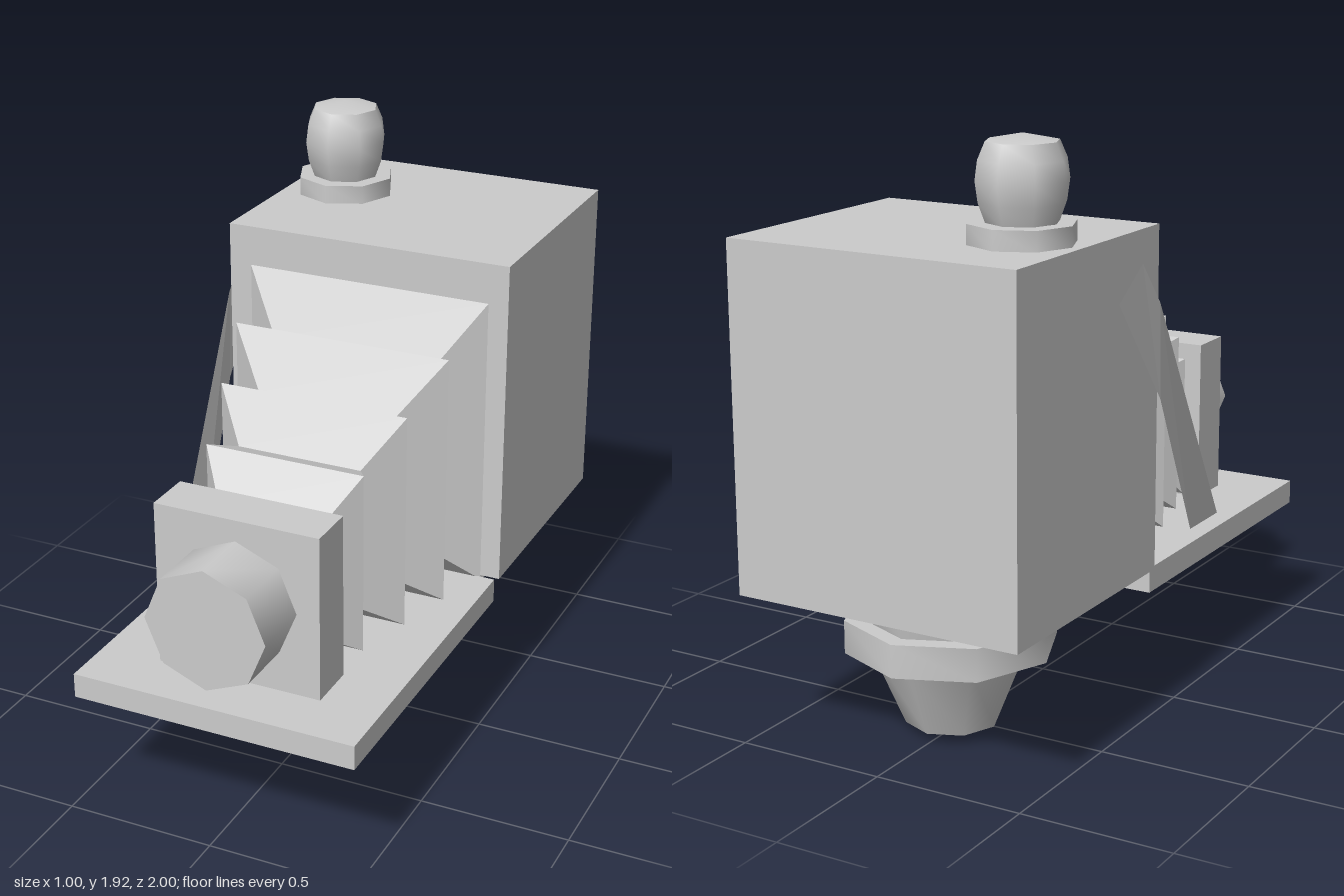
import * as THREE from 'three';
import { toCreasedNormals } from 'three/addons/utils/BufferGeometryUtils.js';

const SIDES = 8;

export function createModel() {
  const model = new THREE.Group();
  const grey = new THREE.MeshStandardMaterial({ color: 0xcccccc });
  const thin = new THREE.MeshStandardMaterial({ color: 0xcccccc, side: THREE.DoubleSide });

  const add = (name, geometry, material = grey) => {
    const mesh = new THREE.Mesh(geometry, material);
    mesh.name = name;
    model.add(mesh);
    return mesh;
  };

  // Box given by its lower and upper corners
  const box = (name, [x0, y0, z0], [x1, y1, z1]) =>
    add(name, new THREE.BoxGeometry(x1 - x0, y1 - y0, z1 - z0))
      .position.set((x0 + x1) / 2, (y0 + y1) / 2, (z0 + z1) / 2);

  // Eight-sided turned part, profile listed from bottom to top
  const turned = (name, profile, x, z) => {
    const points = profile.map(([r, y]) => new THREE.Vector2(r, y));
    const geometry = toCreasedNormals(new THREE.LatheGeometry(points, SIDES), 0.9);
    add(name, geometry).position.set(x, 0, z);
  };

  // Surface through rows of points, flat shaded
  const skin = (rows, closed) => {
    const n = rows[0].length;
    const index = [];
    for (let i = 0; i < rows.length - 1; i++) {
      for (let j = 0; j < (closed ? n : n - 1); j++) {
        const k = (j + 1) % n;
        const a = i * n + j, b = i * n + k, c = b + n, d = a + n;
        index.push(a, b, c, a, c, d);
      }
    }
    let geometry = new THREE.BufferGeometry();
    geometry.setAttribute('position', new THREE.Float32BufferAttribute(rows.flat(2), 3));
    geometry.setIndex(index);
    geometry = geometry.toNonIndexed();
    geometry.computeVertexNormals();
    return geometry;
  };

  // Main case, folding bed and lens board
  box('body', [-0.495, 0.49, -1], [0.5, 1.605, -0.145]);
  box('bed', [-0.475, 0.405, -0.14], [0.485, 0.487, 0.98]);
  box('lensBoard', [-0.272, 0.487, 0.63], [0.285, 1.04, 0.795]);

  // Lens barrel
  const barrel = new THREE.CylinderGeometry(0.203, 0.203, 0.205, SIDES);
  barrel.rotateX(Math.PI / 2);
  add('lens', toCreasedNormals(barrel, 0.9)).position.set(0.005, 0.767, 0.8975);

  // Bellows: [z, half width, bottom, top] at each fold
  const folds = [
    [-0.145, 0.425, 0.475, 1.47],
    [-0.04, 0.287, 0.6, 1.27],
    [0.06, 0.376, 0.487, 1.345],
    [0.165, 0.242, 0.585, 1.165],
    [0.265, 0.325, 0.487, 1.22],
    [0.365, 0.213, 0.57, 1.06],
    [0.47, 0.272, 0.487, 1.1],
    [0.57, 0.18, 0.56, 0.96],
    [0.632, 0.22, 0.49, 0.985],
  ];
  const cx = 0.007;
  add('bellows', skin(folds.map(([z, w, b, t]) => [
    [cx - w, b, z], [cx + w, b, z], [cx + w, t, z], [cx - w, t, z],
  ]), true), thin);

  // Side brace, lying on the case and bending inward to the bed
  add('sideBrace', skin([
    [[-0.5, 1.5, -0.26], [-0.5, 1.4, -0.41]],
    [[-0.505, 1.36, -0.15], [-0.505, 1.05, -0.14]],
    [[-0.408, 0.487, 0.5], [-0.408, 0.487, 0.29]],
  ], false), thin);

  // Shutter knob with its collar
  turned('knobCollar', [[0, 1.6], [0.167, 1.6], [0.167, 1.667], [0, 1.667]], -0.297, -0.633);
  turned('knob', [
    [0.11, 1.66], [0.134, 1.725], [0.143, 1.79], [0.135, 1.85], [0.112, 1.903], [0, 1.925],
  ], -0.297, -0.63);

  // Tripod socket under the case
  turned('socketNeck', [[0.285, 0.39], [0.305, 0.495]], 0.003, -0.567);
  turned('socketCollar', [[0, 0.285], [0.343, 0.285], [0.343, 0.393], [0, 0.393]], 0.003, -0.567);
  turned('socketCone', [[0, 0], [0.153, 0.033], [0.26, 0.287]], 0.003, -0.567);

  return model;
}
